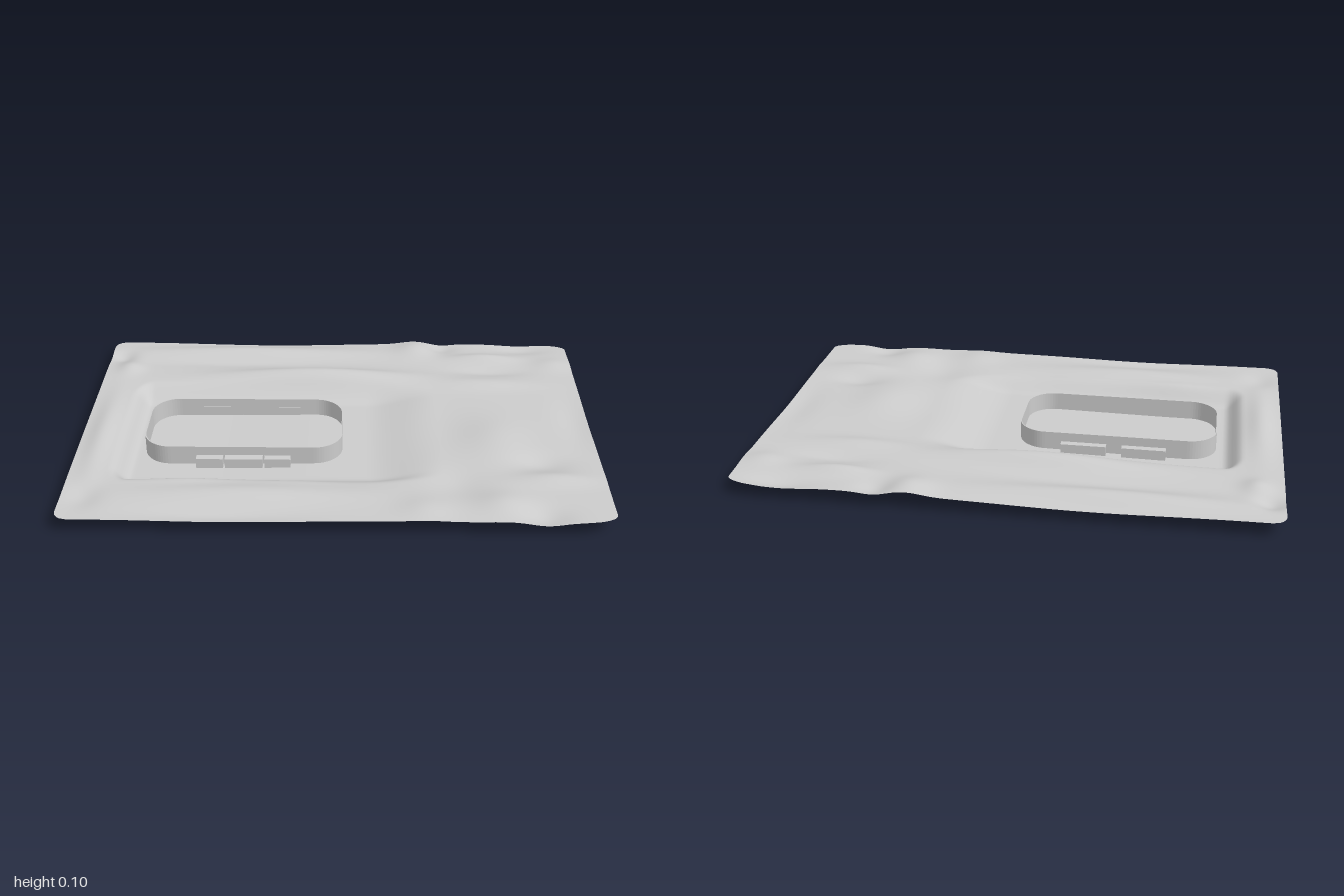
import * as THREE from 'three';

const grey = new THREE.MeshStandardMaterial({ color: 0xcccccc, side: THREE.DoubleSide });

// Gentle folds of the sheet: [x, z, spreadX, spreadZ, height]
const folds = [
  [-0.1, -0.37, 0.40, 0.06, 0.042], [-0.4, -0.50, 0.40, 0.04, -0.008],
  [-0.4, -0.60, 0.45, 0.05, 0.022], [-0.3, -0.70, 0.40, 0.04, -0.012],
  [-0.92, 0.10, 0.05, 0.30, 0.02], [-0.90, -0.45, 0.05, 0.06, 0.018],
  [-0.95, -0.56, 0.05, 0.05, -0.02], [-0.92, 0.55, 0.06, 0.08, -0.015],
  [-0.35, 0.53, 0.35, 0.06, 0.02], [-0.4, 0.66, 0.30, 0.05, -0.014],
  [-0.55, 0.42, 0.15, 0.04, 0.01], [0.05, 0.42, 0.15, 0.06, -0.008],
  [0.33, -0.64, 0.08, 0.08, 0.022], [0.45, -0.66, 0.06, 0.05, -0.015],
  [0.62, -0.55, 0.14, 0.04, 0.022], [0.65, -0.44, 0.15, 0.04, -0.014],
  [0.60, -0.32, 0.20, 0.05, 0.016], [0.80, -0.66, 0.12, 0.05, -0.018],
  [0.92, -0.50, 0.08, 0.06, 0.014], [0.40, 0.05, 0.12, 0.25, -0.008],
  [0.62, 0.12, 0.12, 0.16, 0.018], [0.78, 0.30, 0.10, 0.06, -0.018],
  [0.80, 0.42, 0.14, 0.05, 0.018], [0.45, 0.45, 0.10, 0.10, -0.014],
  [0.60, 0.58, 0.09, 0.08, 0.016], [0.75, 0.66, 0.08, 0.07, -0.02],
  [0.32, 0.62, 0.09, 0.08, 0.014], [0.95, 0.0, 0.07, 0.2, -0.01],
];

// Sheet height: folds, blended into a flat sunken basin
function height(x, z) {
  let h = 0.06;
  for (const [cx, cz, sx, sz, a] of folds) {
    h += a * Math.exp(-(((x - cx) / sx) ** 2) - ((z - cz) / sz) ** 2);
  }
  const dx = Math.max((-0.78 - x) / 0.07, (x - 0.12) / 0.28, 0);
  const dz = Math.max((-0.21 - z) / 0.12, (z - 0.35) / 0.1, 0);
  const floor = 0.004 + 0.008 * THREE.MathUtils.smoothstep(x, -0.75, 0.2);
  return THREE.MathUtils.lerp(floor, h, THREE.MathUtils.smoothstep(Math.hypot(dx, dz), 0, 1));
}

// How far the rounded corners pull the side edge in at depth z
function cornerInset(z, rx, rz) {
  const t = Math.max(0, (Math.abs(z) - (0.7 - rz)) / rz);
  return rx * (1 - Math.sqrt(Math.max(0, 1 - t * t)));
}

function makeSheet() {
  const nx = 160, nz = 120;
  const geo = new THREE.PlaneGeometry(2, 1.4, nx, nz).rotateX(-Math.PI / 2);
  const p = geo.attributes.position;
  for (let i = 0; i < p.count; i++) {
    const v = p.getZ(i) / 0.7;
    const z = 0.7 * (0.5 * v + 0.5 * Math.sin(v * Math.PI / 2));
    const x0 = -1 + cornerInset(z, 0.05, 0.05);
    const x1 = 1 - cornerInset(z, 0.13, 0.05);
    const x = THREE.MathUtils.lerp(x0, x1, (p.getX(i) + 1) / 2);
    p.setXYZ(i, x, height(x, z), z);
  }
  geo.computeVertexNormals();
  const mesh = new THREE.Mesh(geo, grey);
  mesh.name = 'wavySheet';
  return mesh;
}

// Rounded rectangle outline drawn in x and z
function roundedRect(target, x0, x1, z0, z1, r) {
  target.moveTo(x0 + r, z0);
  target.lineTo(x1 - r, z0);
  target.absarc(x1 - r, z0 + r, r, -Math.PI / 2, 0);
  target.lineTo(x1, z1 - r);
  target.absarc(x1 - r, z1 - r, r, 0, Math.PI / 2);
  target.lineTo(x0 + r, z1);
  target.absarc(x0 + r, z1 - r, r, Math.PI / 2, Math.PI);
  target.lineTo(x0, z0 + r);
  target.absarc(x0 + r, z0 + r, r, Math.PI, Math.PI * 1.5);
  return target;
}

function makeRim() {
  const shape = roundedRect(new THREE.Shape(), -0.75, 0.02, -0.145, 0.237, 0.11);
  shape.holes.push(roundedRect(new THREE.Path(), -0.746, 0.016, -0.141, 0.233, 0.106));
  const geo = new THREE.ExtrudeGeometry(shape, { depth: 0.076, bevelEnabled: false, curveSegments: 8 });
  geo.rotateX(Math.PI / 2).translate(0, 0.081, 0);
  const mesh = new THREE.Mesh(geo, grey);
  mesh.name = 'rimWall';
  return mesh;
}

function makeTab(name, x0, x1, z) {
  const mesh = new THREE.Mesh(new THREE.BoxGeometry(x1 - x0, 0.04, 0.033), grey);
  mesh.position.set((x0 + x1) / 2, 0.025, z);
  mesh.name = name;
  return mesh;
}

export function createModel() {
  const model = new THREE.Group();
  model.name = 'sheetWithRim';
  model.add(makeSheet(), makeRim());
  // Clip tabs along the long sides of the rim
  for (const [a, b] of [[-0.54, -0.437], [-0.43, -0.285], [-0.278, -0.178]]) {
    model.add(makeTab('frontTab', a, b, 0.252));
  }
  for (const [a, b] of [[-0.56, -0.39], [-0.33, -0.155]]) {
    model.add(makeTab('backTab', a, b, -0.156));
  }
  return model;
}
